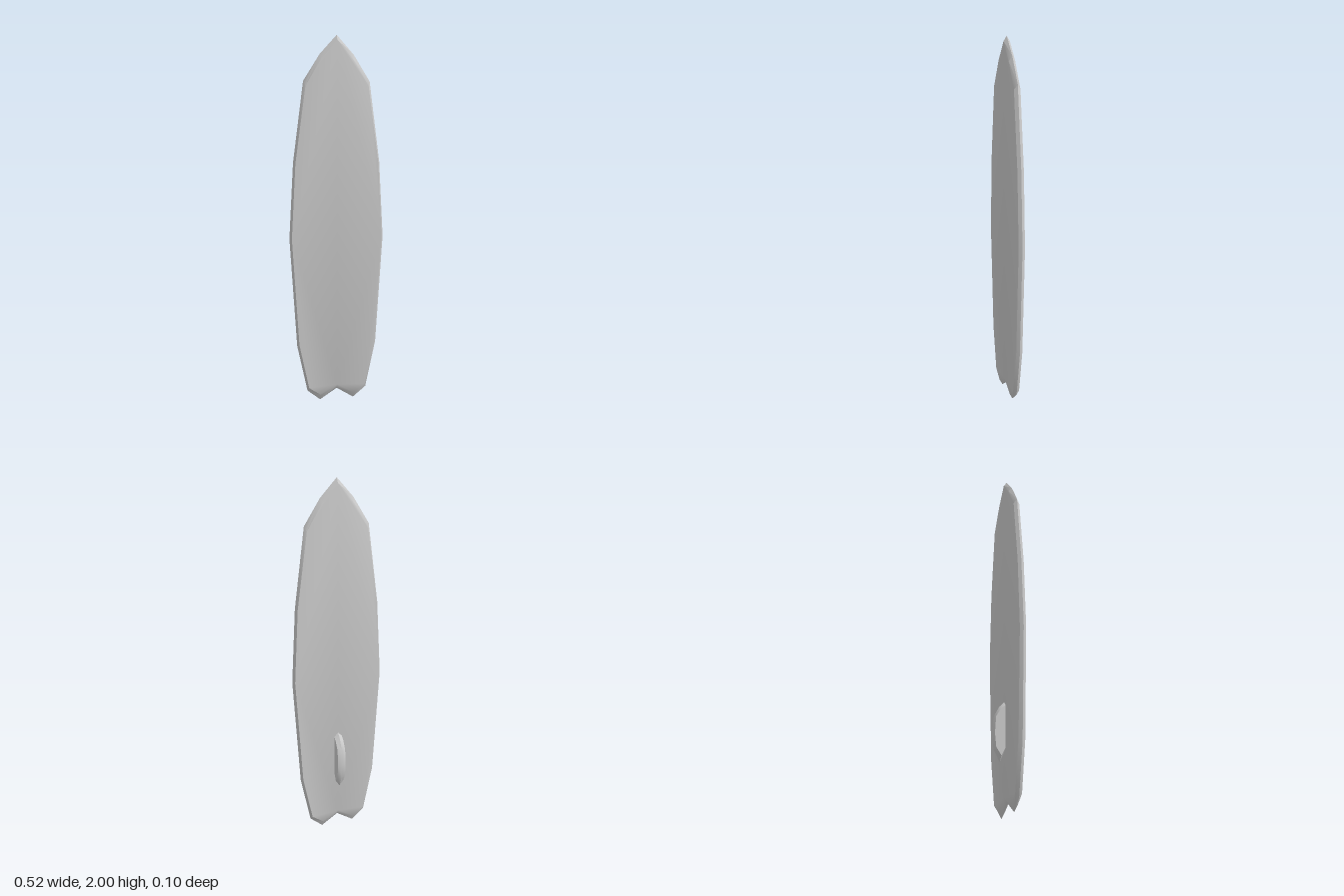
import * as THREE from 'three';
import { toCreasedNormals } from 'three/addons/utils/BufferGeometryUtils.js';

// Flat slab with a ridged rim: inset faces at z = ±half, wider outline at z = 0.
// Each point is [x, y, faceX, faceY], listed counter-clockwise.
function ridgedSlab(points, half) {
  const n = points.length;
  const rim = points.map(([x, y]) => [x, y, 0]);
  const front = points.map(([, , x, y]) => [x, y, half]);
  const back = points.map(([, , x, y]) => [x, y, -half]);
  const positions = [...back, ...rim, ...front].flat();
  const index = [];

  // Rim bands
  for (let band = 0; band < 2; band++) {
    for (let i = 0; i < n; i++) {
      const a = band * n + i;
      const b = band * n + (i + 1) % n;
      index.push(a, b, b + n, a, b + n, a + n);
    }
  }

  // Front and back faces
  const face = front.map(([x, y]) => new THREE.Vector2(x, y));
  for (const [a, b, c] of THREE.ShapeUtils.triangulateShape(face, [])) {
    index.push(a + 2 * n, b + 2 * n, c + 2 * n, c, b, a);
  }

  const geometry = new THREE.BufferGeometry();
  geometry.setAttribute('position', new THREE.Float32BufferAttribute(positions, 3));
  geometry.setIndex(index);
  return toCreasedNormals(geometry, 0.7);
}

export function createModel() {
  const group = new THREE.Group();
  group.name = 'surfboard';
  const material = new THREE.MeshStandardMaterial({ color: 0xcccccc });

  // Board: half outline from the swallow tail up to the nose, then mirrored
  const half = [
    [0, 0.06, 0, 0.087],
    [0.095, 0.0, 0.095, 0.033],
    [0.167, 0.058, 0.16, 0.078],
    [0.223, 0.32, 0.213, 0.328],
    [0.261, 0.92, 0.25, 0.92],
    [0.238, 1.33, 0.228, 1.325],
    [0.181, 1.76, 0.171, 1.735],
    [0.092, 1.9, 0.087, 1.873],
    [0, 2, 0, 1.972],
  ];
  const mirrored = half.slice(1, -1).reverse().map(([x, y, fx, fy]) => [-x, y, -fx, fy]);
  const board = new THREE.Mesh(ridgedSlab([...half, ...mirrored], 0.0175), material);
  board.name = 'board';
  board.position.z = 0.03;
  group.add(board);

  // Fin: side profile, with its x axis turned to point backward
  const profile = [
    [-0.02, 0.325, -0.02, 0.345],
    [-0.012, 0.317, -0.012, 0.337],
    [0.012, 0.265, 0.01, 0.295],
    [0.042, 0.33, 0.038, 0.337],
    [0.05, 0.41, 0.045, 0.41],
    [0.043, 0.508, 0.039, 0.5],
    [0.015, 0.56, 0.011, 0.545],
    [-0.012, 0.588, -0.012, 0.566],
    [-0.02, 0.593, -0.02, 0.571],
  ];
  const fin = new THREE.Mesh(ridgedSlab(profile, 0.023), material);
  fin.name = 'fin';
  fin.rotation.y = Math.PI / 2;
  group.add(fin);

  return group;
}
